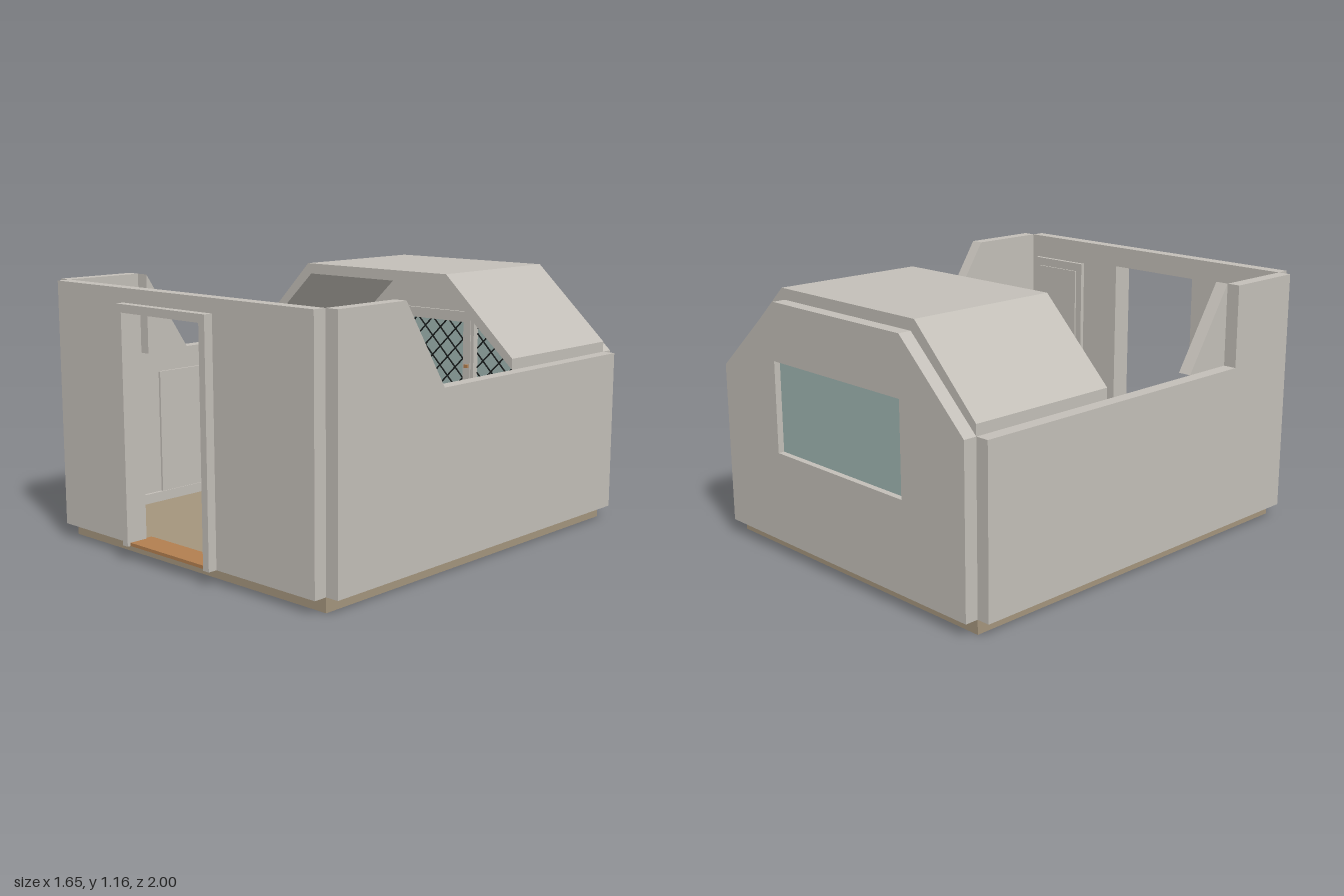
import * as THREE from 'three';

const material = (name, color) => Object.assign(new THREE.MeshStandardMaterial({ color }), { name });

export function createModel() {
  const model = new THREE.Group();
  model.name = 'room';
  const plaster = material('grey plaster', 0xc3bfb8);
  const boards = material('tan floor', 0xa4957d);
  const glass = material('pale teal glass', 0xa0b6b2);
  const wood = material('brown wood', 0xb27f50);
  const lead = material('black metal', 0x191d1d);

  const add = (name, geometry, mat) => {
    const mesh = new THREE.Mesh(geometry, mat);
    mesh.name = name;
    model.add(mesh);
    return mesh;
  };
  // Box given by its limits on each axis
  const box = (name, mat, x0, x1, y0, y1, z0, z1) => {
    const mesh = add(name, new THREE.BoxGeometry(x1 - x0, y1 - y0, z1 - z0), mat);
    mesh.position.set((x0 + x1) / 2, (y0 + y1) / 2, (z0 + z1) / 2);
    return mesh;
  };
  const outline = (points) => new THREE.Shape(points.map(([a, b]) => new THREE.Vector2(a, b)));
  const rect = (x0, x1, y0, y1) => [[x0, y0], [x1, y0], [x1, y1], [x0, y1]];
  // Plate in the xy plane, reaching from z0 to z1, with an optional hole
  const plate = (name, mat, points, z0, z1, hole) => {
    const shape = outline(points);
    if (hole) shape.holes.push(outline(hole));
    const geometry = new THREE.ExtrudeGeometry(shape, { depth: z1 - z0, bevelEnabled: false });
    return add(name, geometry.translate(0, 0, z0), mat);
  };
  // Plate in the zy plane, reaching from x0 to x1
  const sidePlate = (name, mat, points, x0, x1) => {
    const geometry = new THREE.ExtrudeGeometry(outline(points), { depth: x1 - x0, bevelEnabled: false });
    return add(name, geometry.rotateY(-Math.PI / 2).translate(x1, 0, 0), mat);
  };

  // Floor and threshold
  const L = -0.768, R = 0.765, base = 0.062;
  box('floor', boards, L, R, 0, base + 0.003, -0.94, 0.9);
  box('threshold', wood, -0.285, 0.19, base, 0.076, 0.865, 0.985);
  box('thresholdInner', wood, -0.297, 0.202, base, 0.075, 0.865, 0.9);

  // Front wall with the doorway cut out from below
  plate('frontWall', plaster, [[L, base], [-0.285, base], [-0.285, 1.045], [0.19, 1.045],
    [0.19, base], [R, base], [R, 1.14], [L, 1.14]], 0.9, 0.96);
  plate('doorFrame', plaster, [[-0.318, base], [-0.285, base], [-0.285, 1.045], [0.19, 1.045],
    [0.19, base], [0.224, base], [0.224, 1.08], [-0.318, 1.08]], 0.96, 1.0);

  // Side walls: one with a slope, one with a step and a sloped brace inside it
  sidePlate('leftWall', plaster, [[-0.94, base], [0.9, base], [0.9, 1.14], [0.525, 1.14],
    [0.29, 0.78], [-0.94, 0.78]], R, 0.825);
  sidePlate('rightWall', plaster, [[-0.94, base], [0.9, base], [0.9, 1.14], [0.525, 1.14],
    [0.525, 0.78], [-0.94, 0.78]], -0.828, L);
  sidePlate('wallBrace', plaster, [[0.525, 0.78], [0.525, 1.14], [0.29, 0.78]], L, -0.708);

  // Back wall with window opening
  const W0 = -0.41, W1 = 0.395, B0 = 0.46, B1 = 0.86;
  plate('backWall', plaster, [[L, base], [R, base], [R, 0.78], [0.385, 1.112], [-0.415, 1.112],
    [L, 0.78]], -1, -0.94, rect(W0, W1, B0, B1));

  // Roof shell over the back half
  plate('roof', plaster, [[L, 0.78], [L, 0.827], [-0.435, 1.16], [0.403, 1.16], [R, 0.827],
    [R, 0.78], [0.385, 1.112], [-0.415, 1.112]], -0.94, -0.235);

  // Skirting boards
  box('skirting', plaster, L, L + 0.015, base, 0.11, -0.94, 0.9);
  box('skirting', plaster, R - 0.015, R, base, 0.11, -0.94, 0.9);
  box('skirting', plaster, L, R, base, 0.11, -0.94, -0.925);

  // Window: glass, surround, sill and casements
  box('windowGlass', glass, W0, W1, B0, B1, -0.972, -0.964);
  plate('windowSurround', plaster, rect(W0 - 0.04, W1 + 0.04, 0.43, 0.9), -0.94, -0.925, rect(W0, W1, B0, B1));
  box('windowSill', plaster, W0 - 0.05, W1 + 0.05, 0.412, 0.43, -0.94, -0.87);
  box('windowMullion', plaster, -0.02, 0.01, 0.45, B1, -0.962, -0.925);
  const panes = [[W0, -0.02], [0.01, W1]];
  for (const [p0, p1] of panes) {
    const x0 = p0 + 0.018, x1 = p1 - 0.018, y0 = B0 + 0.01, y1 = B1 - 0.012;
    plate('casement', plaster, rect(p0, p1, B0, B1), -0.963, -0.93, rect(x0, x1, y0, y1));
    // Diagonal lattice, each bar clipped to its pane
    const step = 0.098;
    for (const dir of [1, -1]) {
      for (let c = x0 - (y1 - y0) + 0.03; c < x1; c += step) {
        const a = Math.max(0, x0 - c), b = Math.min(y1 - y0, x1 - c);
        if (b - a < 0.01) continue;
        const bar = add('latticeBar', new THREE.BoxGeometry((b - a) * Math.SQRT2, 0.006, 0.005), lead);
        const mid = (a + b) / 2;
        bar.position.set(c + mid, dir > 0 ? y0 + mid : y1 - mid, -0.96);
        bar.rotation.z = dir * Math.PI / 4;
      }
    }
  }
  box('windowLatch', wood, -0.018, 0.004, 0.622, 0.638, -0.925, -0.91);

  // Closed door inside the front wall
  const knob = (x, y, z) => {
    add('doorKnob', new THREE.SphereGeometry(0.008, 12, 8), lead).position.set(x, y, z);
  };
  plate('innerDoorFrame', plaster, rect(0.405, 0.725, base, 1.03), 0.88, 0.9, rect(0.44, 0.69, base + 0.01, 0.99));
  box('innerDoor', plaster, 0.44, 0.69, base + 0.01, 0.99, 0.872, 0.89);
  knob(0.667, 0.5, 0.858);

  // Cupboard door on the right wall
  box('cupboardDoor', plaster, L, -0.757, 0.095, 0.68, 0.1, 0.42);
  knob(-0.745, 0.36, 0.15);

  // Shelf on the left wall
  box('wallShelf', plaster, 0.65, R, 0.48, 0.51, 0.14, 0.43);

  return model;
}
